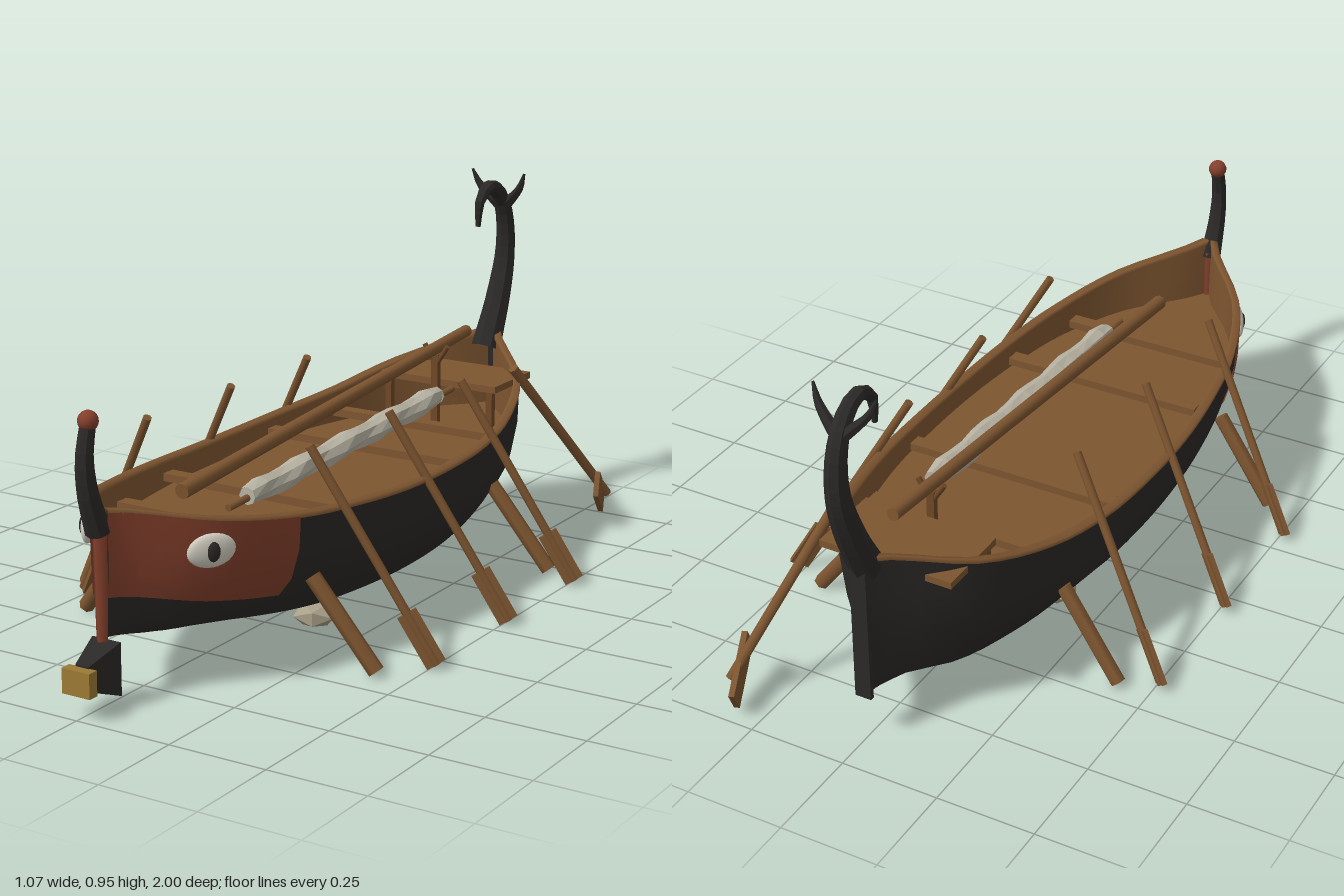
import * as THREE from 'three';

const mat = (color, opts = {}) => new THREE.MeshStandardMaterial({ color, ...opts });
const both = { side: THREE.DoubleSide };
const tar = mat(0x2b2927, both), tarFlat = mat(0x2b2927, { flatShading: true });
const wood = mat(0x7d5530, both), woodDark = mat(0x6f4826);
const red = mat(0x84402c, both), bronze = mat(0x9c7a35), white = mat(0xd2cdc0);
const linen = mat(0xb8b3a3, { flatShading: true }), stone = mat(0xa89f88, { flatShading: true });

// Hull lines, sampled at even stations from bow (z = 0.9) to stern (z = -0.9)
const line = (values) => {
  const curve = new THREE.SplineCurve(values.map((v, i) => new THREE.Vector2(i, v)));
  return (z) => curve.getPoint(THREE.MathUtils.clamp((0.9 - z) / 1.8, 0, 1)).y;
};
const beam = line([0.02, 0.18, 0.262, 0.3, 0.318, 0.32, 0.308, 0.268, 0.19, 0.02]);
const sheer = line([0.47, 0.425, 0.395, 0.38, 0.37, 0.37, 0.378, 0.4, 0.45, 0.52]);
const keel = line([0.17, 0.125, 0.09, 0.06, 0.045, 0.038, 0.043, 0.06, 0.085, 0.13]);
// Half section: [share of beam, share of height]
const section = [[0, 0], [0.12, 0.02], [0.6, 0.14], [0.9, 0.48], [0.985, 0.73], [1, 1]];
const DECK = 0.31;

const heightAt = (z, s) => THREE.MathUtils.lerp(keel(z), sheer(z), s);
function widthAt(z, s) {
  const i = Math.max(1, section.findIndex((p) => p[1] >= s));
  const [a, b] = [section[i - 1], section[i]];
  return beam(z) * THREE.MathUtils.mapLinear(s, a[1], b[1], a[0], b[0]);
}

// Surface lofted through rows of points running from z0 to z1
function loft(name, material, z0, z1, steps, row) {
  const pos = [], index = [];
  let n = 0;
  for (let i = 0; i <= steps; i++) {
    const pts = row(THREE.MathUtils.lerp(z0, z1, i / steps));
    n = pts.length;
    pts.forEach((p) => pos.push(...p));
  }
  for (let i = 0; i < steps; i++) for (let j = 0; j < n - 1; j++) {
    const a = i * n + j, b = a + n;
    index.push(a, a + 1, b, a + 1, b + 1, b);
  }
  const g = new THREE.BufferGeometry();
  g.setAttribute('position', new THREE.Float32BufferAttribute(pos, 3));
  g.setIndex(index);
  g.computeVertexNormals();
  return named(name, g, material);
}

function named(name, geometry, material, x = 0, y = 0, z = 0) {
  const m = new THREE.Mesh(geometry, material);
  m.name = name;
  m.position.set(x, y, z);
  return m;
}
const box = (name, material, w, h, d, x, y, z) =>
  named(name, new THREE.BoxGeometry(w, h, d), material, x, y, z);

// Round pole from a to b
function pole(name, material, a, b, ra, rb = ra, sides = 8) {
  const A = new THREE.Vector3(...a), B = new THREE.Vector3(...b), d = B.clone().sub(A);
  const m = named(name, new THREE.CylinderGeometry(rb, ra, d.length(), sides), material);
  m.position.copy(A).add(B).multiplyScalar(0.5);
  m.quaternion.setFromUnitVectors(new THREE.Vector3(0, 1, 0), d.normalize());
  return m;
}

// Curved horn whose radius runs through the given list
function horn(name, material, points, radii, steps = 14, sides = 7) {
  const curve = new THREE.CatmullRomCurve3(points.map((p) => new THREE.Vector3(...p)));
  const g = new THREE.TubeGeometry(curve, steps, 1, sides);
  const p = g.attributes.position, v = new THREE.Vector3();
  for (let i = 0; i < p.count; i++) {
    const t = Math.floor(i / (sides + 1)) / steps, f = t * (radii.length - 1);
    const k = Math.min(Math.floor(f), radii.length - 2);
    const c = curve.getPointAt(t);
    v.fromBufferAttribute(p, i).sub(c).multiplyScalar(THREE.MathUtils.lerp(radii[k], radii[k + 1], f - k)).add(c);
    p.setXYZ(i, v.x, v.y, v.z);
  }
  g.computeVertexNormals();
  return named(name, g, material);
}

function oar(side, z) {
  const g = new THREE.Group();
  g.name = 'oar';
  const inner = [side * 0.23, 0.53, z + 0.05], outer = [side * 0.515, 0.02, z - 0.05];
  const shaft = pole('oarShaft', wood, inner, outer, 0.011);
  const blade = box('oarBlade', wood, 0.05, 0.14, 0.012, 0, 0, 0);
  blade.quaternion.copy(shaft.quaternion);
  blade.position.set(...inner).lerp(new THREE.Vector3(...outer), 0.88);
  g.add(shaft, blade);
  return g;
}

export function createModel() {
  const ship = new THREE.Group();
  ship.name = 'galley';
  const add = (...m) => ship.add(...m);

  // Hull skin, inner planking, deck and gunwale
  const inside = (z, s) => Math.max(widthAt(z, s) - 0.016, 0.002);
  const deckShare = (z) => (DECK - keel(z)) / (sheer(z) - keel(z));
  add(loft('hull', tar, 0.9, -0.9, 36, (z) => {
    const half = section.map(([, s]) => [widthAt(z, s), heightAt(z, s), z]);
    return [...half.slice(1).reverse().map(([x, y]) => [-x, y, z]), ...half];
  }));
  add(loft('deck', wood, 0.89, -0.89, 36, (z) => {
    const w = inside(z, deckShare(z));
    return [[w, DECK, z], [-w, DECK, z]];
  }));
  for (const side of [1, -1]) {
    add(loft('innerPlanking', wood, 0.89, -0.89, 36, (z) => [deckShare(z), 1].map(
      (s) => [side * inside(z, s), heightAt(z, s), z])));
    add(loft('gunwale', wood, 0.9, -0.9, 36, (z) => {
      const y = sheer(z), o = beam(z) + 0.003, i = Math.max(o - 0.022, 0);
      return [[side * o, y - 0.008, z], [side * o, y + 0.004, z], [side * i, y + 0.004, z], [side * i, y - 0.008, z]];
    }));
    // Painted bow panel
    add(loft('bowPaint', red, 0.903, 0.5, 12, (z) => [0.33, 0.48, 0.73, 0.985].map(
      (s) => [side * (widthAt(z, s) + 0.005), heightAt(z, s), z])));

    // Eye
    const eye = new THREE.Group();
    eye.name = 'eye';
    const ball = named('eyeWhite', new THREE.SphereGeometry(1, 18, 12), white);
    ball.scale.set(0.06, 0.04, 0.016);
    const pupil = named('pupil', new THREE.SphereGeometry(1, 14, 10), tar, 0, 0, 0.009);
    pupil.scale.set(0.019, 0.025, 0.012);
    eye.add(ball, pupil);
    eye.position.set(side * 0.172, 0.355, 0.72);
    eye.rotation.y = side * 1.03;
    add(eye);

    // Oars and shoring props
    for (const z of [0.355, 0, -0.355]) add(oar(side, z));
    for (const z of [0.43, -0.435])
      add(pole('prop', wood, [side * 0.26, 0.23, z + 0.01], [side * 0.42, 0.02, z - 0.012], 0.02, 0.02, 6));

    // Spikes on the stern ornament
    add(horn('sternSpike', tarFlat, [[0, 0.85, -0.945], [side * 0.035, 0.885, -0.935], [side * 0.062, 0.915, -0.925],
      [side * 0.08, 0.957, -0.915]], [0.016, 0.014, 0.01, 0.003], 8, 6));
  }

  // Stem, stern closure and ram
  const stem = pole('stem', red, [0, 0.165, 0.9], [0, 0.44, 0.9], 0.016, 0.022, 4);
  add(stem, box('sternClosure', tar, 0.042, 0.39, 0.012, 0, 0.325, -0.897));
  const ram = named('ram', new THREE.CylinderGeometry(0.042, 0.09, 0.09, 4, 1).rotateY(Math.PI / 4)
    .rotateX(Math.PI / 2), tarFlat, 0, 0.1, 0.93);
  ram.scale.x = 0.62;
  add(ram, box('ramCap', bronze, 0.076, 0.06, 0.028, 0, 0.095, 0.986));

  // Stem post with knob, curled stern ornament
  add(horn('stemPost', tarFlat, [[0, 0.42, 0.905], [0, 0.52, 0.94], [0, 0.6, 0.948], [0, 0.67, 0.933]],
    [0.03, 0.025, 0.021, 0.018], 8, 8));
  add(named('stemKnob', new THREE.SphereGeometry(0.024, 14, 10), red, 0, 0.678, 0.932));
  add(horn('sternOrnament', tarFlat, [[0, 0.47, -0.86], [0, 0.6, -0.925], [0, 0.72, -0.962], [0, 0.82, -0.958],
    [0, 0.89, -0.925], [0, 0.922, -0.87], [0, 0.89, -0.815], [0, 0.82, -0.805]],
  [0.042, 0.037, 0.033, 0.028, 0.025, 0.021, 0.016, 0.007], 20, 8));

  // Rowing benches
  for (const [z, half] of [[0.52, 0.225], [0.27, 0.27], [-0.21, 0.28], [-0.47, 0.24]])
    add(box('bench', wood, half * 2, 0.02, 0.038, 0, 0.345, z));

  // Stern platform with legs
  add(box('sternPlatform', wood, 0.35, 0.018, 0.2, 0, 0.432, -0.692));
  for (const x of [-0.155, 0.155]) add(box('platformLeg', woodDark, 0.018, 0.12, 0.018, x, 0.366, -0.605));

  // Lowered mast on its crutch
  add(pole('mast', wood, [0, 0.43, 0.59], [0, 0.542, -0.75], 0.019, 0.016, 10));
  add(box('mastCrutch', woodDark, 0.02, 0.2, 0.016, 0, 0.41, -0.583));
  for (const s of [-1, 1]) add(pole('crutchArm', woodDark, [0, 0.48, -0.583], [s * 0.035, 0.535, -0.583], 0.007));

  // Yard with furled sail
  add(pole('yard', wood, [0.08, 0.385, 0.52], [0.08, 0.438, -0.53], 0.009));
  add(loft('furledSail', linen, 0.44, -0.45, 16, (z) => {
    const end = Math.abs(z + 0.005) > 0.444 ? 0.75 : 1;
    return Array.from({ length: 9 }, (_, k) => {
      const a = -k / 8 * Math.PI * 2;
      const r = end * (0.029 + 0.004 * Math.sin(z * 31 + 2 * Math.sin(a)));
      return [0.08 + r * Math.cos(a), 0.415 - z * 0.05 + r * Math.sin(a), z];
    });
  }));
  linen.side = THREE.DoubleSide;
  for (const [y, z] of [[0.393, 0.438], [0.4375, -0.448]])
    add(named('sailEnd', new THREE.CylinderGeometry(0.022, 0.022, 0.004, 8).rotateX(Math.PI / 2), linen, 0.08, y, z));

  // Steering oar, blade set edge-on to the hull
  add(pole('steeringShaft', wood, [0.2, 0.485, -0.645], [0.342, 0.085, -0.945], 0.013));
  const long = new THREE.Vector3(-0.05, -0.09, -0.14).normalize();
  const thin = new THREE.Vector3(0.94, 0, -0.336).normalize();
  const wide = long.clone().cross(thin).normalize();
  const blade = box('steeringBlade', wood, 0.07, 0.165, 0.014, 0.333, 0.095, -0.915);
  blade.quaternion.setFromRotationMatrix(new THREE.Matrix4().makeBasis(wide, long, wide.clone().cross(long)));
  add(blade);

  // Stones wedged under the hull
  for (const [x, y, z, turn] of [[0.12, 0.04, 0.21, 0.4], [-0.13, 0.045, -0.21, 1.9]]) {
    const rock = named('stone', new THREE.IcosahedronGeometry(0.055, 0), stone, x, y, z);
    rock.scale.set(1.05, 0.6, 0.95);
    rock.rotation.y = turn;
    add(rock);
  }
  return ship;
}
